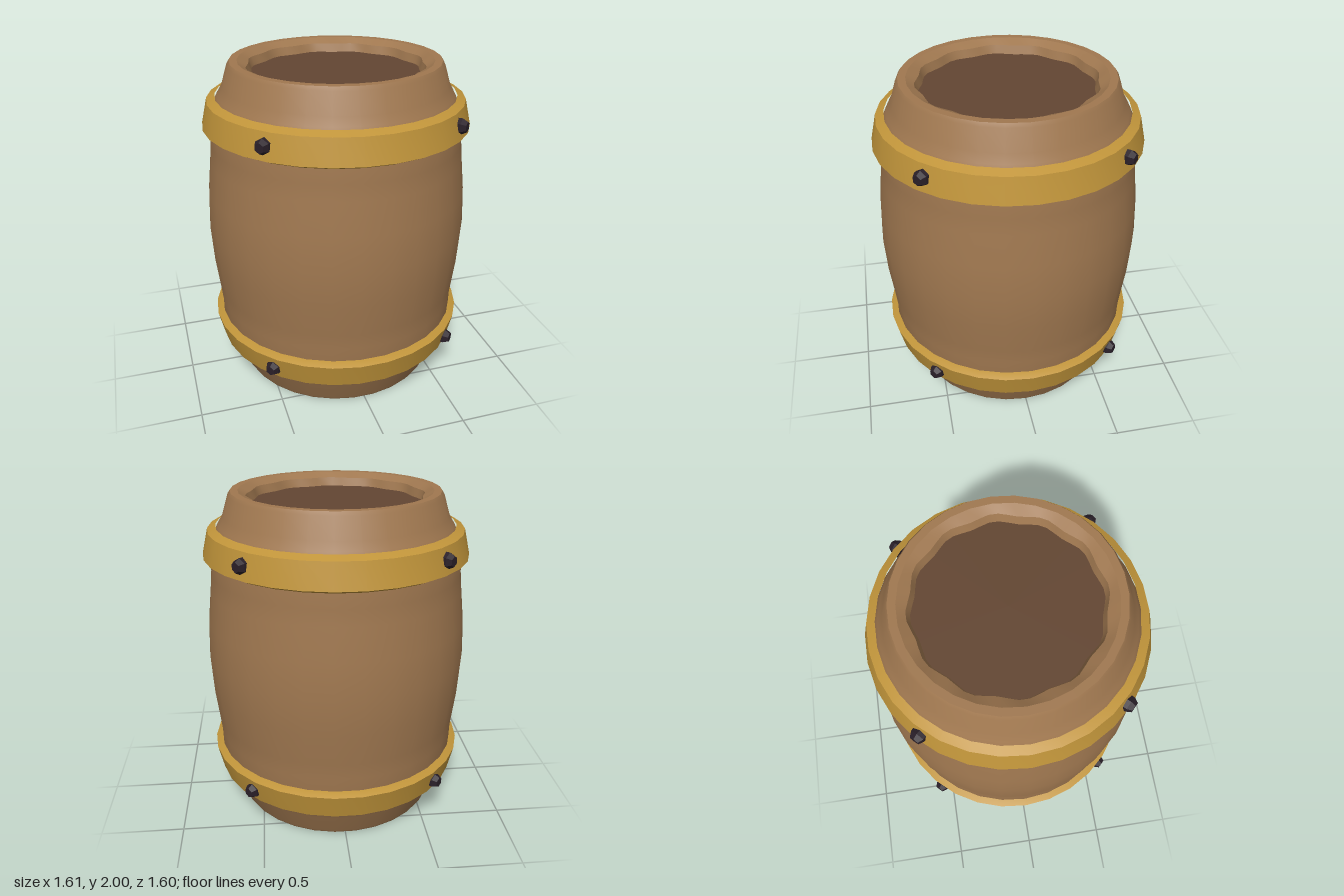
import * as THREE from 'three';
import { toCreasedNormals } from 'three/addons/utils/BufferGeometryUtils.js';

const SIDES = 30;

// Revolve [radius, height] pairs, with a flat facet facing front and back
function lathe(pairs, sides = SIDES) {
  const points = pairs.map(([r, y]) => new THREE.Vector2(r, y));
  return new THREE.LatheGeometry(points, sides, Math.PI / sides, Math.PI * 2);
}

// Push vertices below a height in and out into twelve shallow lobes
function scallop(geometry, below) {
  const p = geometry.attributes.position;
  for (let i = 0; i < p.count; i++) {
    if (p.getY(i) > below) continue;
    const k = 1 + 0.02 * Math.cos(12 * Math.atan2(p.getX(i), p.getZ(i)));
    p.setX(i, p.getX(i) * k);
    p.setZ(i, p.getZ(i) * k);
  }
  geometry.computeVertexNormals();
  return geometry;
}

export function createModel() {
  const barrel = new THREE.Group();
  barrel.name = 'barrel';

  const material = (name, color) => {
    const m = new THREE.MeshStandardMaterial({ color });
    m.name = name;
    return m;
  };
  const wood = material('wood', 0xa07850);
  const darkWood = material('darkWood', 0x634632);
  const brass = material('brass', 0xc0943a);
  const iron = material('iron', 0x2a2029);

  const add = (name, geometry, mat, parent = barrel) => {
    const mesh = new THREE.Mesh(geometry, mat);
    mesh.name = name;
    parent.add(mesh);
    return mesh;
  };

  // Staves: bulging wall with a rounded rim at both ends
  const upper = [
    [0.803, 1.0], [0.791, 1.22], [0.768, 1.42], [0.758, 1.52], [0.758, 1.62],
    [0.735, 1.74], [0.7, 1.81], [0.67, 1.86], [0.633, 1.98], [0.62, 2.0], [0.575, 2.0],
  ];
  const lower = upper.slice(1).reverse().map(([r, y]) => [r, 2 - y]);
  add('staves', toCreasedNormals(lathe([...lower, ...upper]), 0.45), wood);

  // Recessed top: sloping lip, wavy inner wall and lid
  const lip = lathe([[0.577, 2.0], [0.52, 1.97], [0.503, 1.92]], 60);
  add('innerRim', toCreasedNormals(scallop(lip, 1.99), 0.45), wood);
  const lid = new THREE.CircleGeometry(0.503, 60, Math.PI / 60).rotateX(-Math.PI / 2);
  add('lid', scallop(lid, 1), darkWood).position.y = 1.92;

  // Bottom board
  const base = new THREE.CircleGeometry(0.58, SIDES, Math.PI / SIDES).rotateX(Math.PI / 2);
  add('bottomBoard', base, darkWood).position.y = 0.003;

  // Hoops with bevelled edges; the lower one mirrors the upper
  const hoopProfile = [[0.72, 1.605], [0.76, 1.61], [0.8, 1.63], [0.765, 1.78], [0.715, 1.802]];
  const mirrored = [...hoopProfile].reverse().map(([r, y]) => [r, 2.007 - y]);
  add('upperHoop', toCreasedNormals(lathe(hoopProfile), 0.45), brass);
  add('lowerHoop', toCreasedNormals(lathe(mirrored), 0.45), brass);

  // Faceted rivets on the diagonals of each hoop
  const rivet = toCreasedNormals(
    new THREE.CylinderGeometry(0.03, 0.046, 0.03, 6).translate(0, 0.015, 0), 0.1);
  const shank = new THREE.CylinderGeometry(0.046, 0.046, 0.04, 6).translate(0, -0.02, 0);
  for (const y of [1.707, 0.3]) {
    for (let i = 0; i < 4; i++) {
      const angle = Math.PI / 4 + i * Math.PI / 2;
      const group = new THREE.Group();
      group.name = 'rivet';
      add('rivetHead', rivet, iron, group);
      add('rivetShank', toCreasedNormals(shank, 0.1), iron, group);
      group.position.set(0.793 * Math.sin(angle), y, 0.793 * Math.cos(angle));
      group.rotation.set(Math.PI / 2, 0, -angle, 'YXZ');
      group.rotation.set(Math.PI / 2, angle, 0, 'YXZ');
      barrel.add(group);
    }
  }
  return barrel;
}
